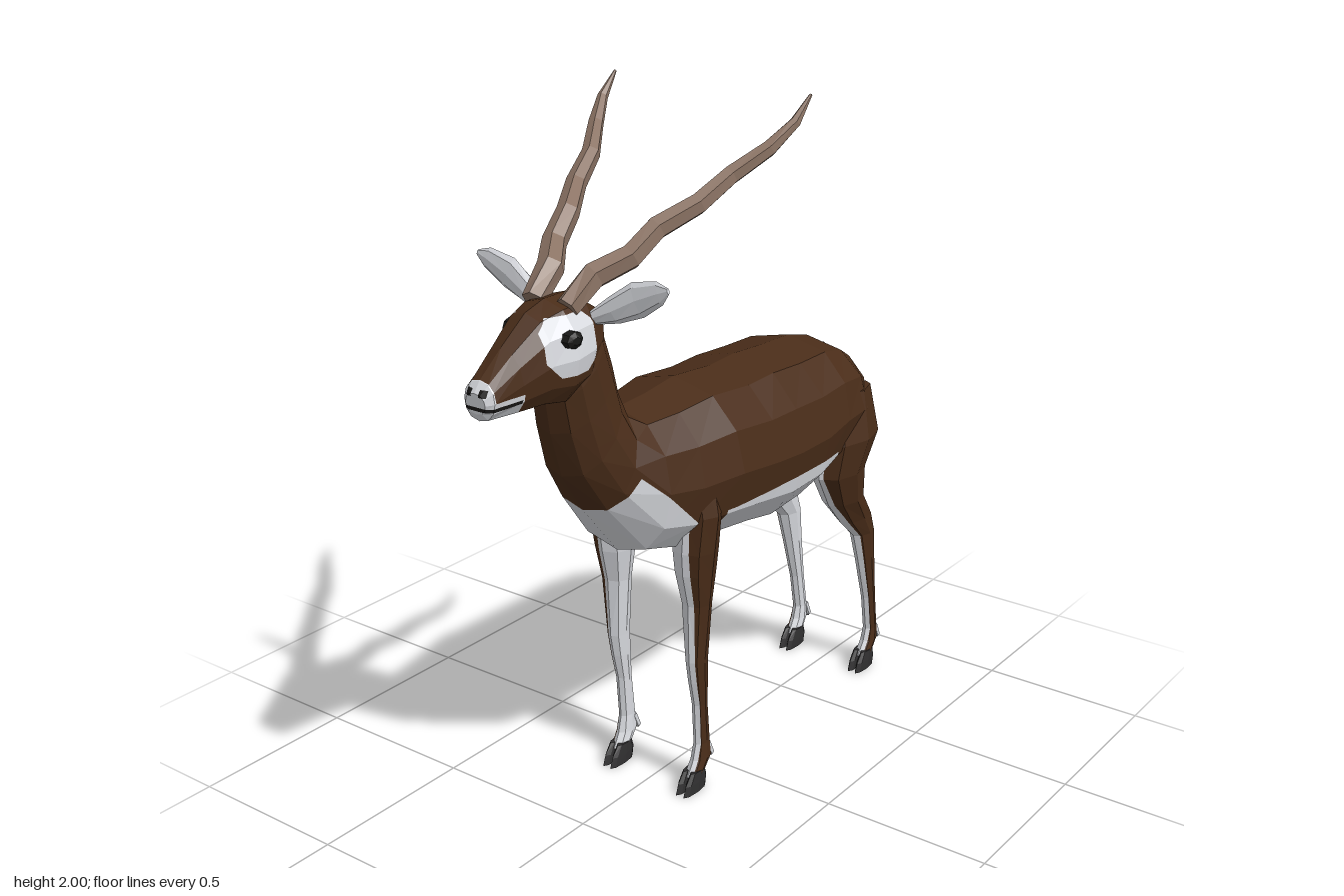
import * as THREE from 'three';

const mat = (name, color) => {
  const m = new THREE.MeshStandardMaterial({ color, flatShading: true });
  m.name = name;
  return m;
};
const brown = mat('brown coat', 0x4a2d19);
const white = mat('white coat', 0xd9dbe0);
const hornTan = mat('horn tan', 0x8a7263);
const hoofGrey = mat('hoof grey', 0x302f30);
const black = mat('black', 0x171615);

const V = (x, y, z) => new THREE.Vector3(x, y, z);

// Joins rings of equal length into a closed skin of triangles with end caps.
function loft(rings) {
  const polys = [], n = rings[0].length;
  for (let i = 0; i < rings.length - 1; i++) {
    for (let j = 0; j < n; j++) {
      const k = (j + 1) % n, a = rings[i], b = rings[i + 1];
      polys.push([a[j], b[j], b[k]], [a[j], b[k], a[k]]);
    }
  }
  polys.push([...rings[0]], [...rings[rings.length - 1]].reverse());
  return polys;
}

const ring = (n, fn) => Array.from({ length: n }, (_, j) => {
  const a = (j / n) * Math.PI * 2;
  return fn(Math.cos(a), Math.sin(a));
});
const soft = (v, e) => Math.sign(v) * Math.abs(v) ** e;

// Ring from a top point and a bottom point in the middle plane plus a half width.
const slice = ([tz, ty, bz, by, w], n = 12) => ring(n, (c, s) =>
  V(soft(s, 0.85) * w, (ty + by) / 2 + c * (ty - by) / 2, (tz + bz) / 2 + c * (tz - bz) / 2));

// Level ring for legs: height, front z, back z, inner x, outer x.
const level = ([y, zf, zb, xi, xo], n = 8) => ring(n, (c, s) =>
  V((xi + xo) / 2 + s * (xo - xi) / 2, y, (zf + zb) / 2 + c * (zf - zb) / 2));

// Rings along a path of [x, y, z, radius, second radius].
function sweep(path, n, ref) {
  const pts = path.map(p => V(p[0], p[1], p[2]));
  return loft(path.map(([, , , r, r2 = r], i) => {
    const t = pts[Math.min(i + 1, pts.length - 1)].clone().sub(pts[Math.max(i - 1, 0)]).normalize();
    const u = ref.clone().addScaledVector(t, -ref.dot(t)).normalize();
    const b = u.clone().cross(t);
    return ring(n, (c, s) => pts[i].clone().addScaledVector(u, c * r).addScaledVector(b, s * r2));
  }));
}

// Cuts a polygon in two where the linear function f changes sign.
function cut(poly, f) {
  const inside = [], outside = [];
  poly.forEach((p, i) => {
    const q = poly[(i + 1) % poly.length], d = f(p), e = f(q);
    (d >= 0 ? inside : outside).push(p);
    if ((d >= 0) !== (e >= 0)) {
      const m = p.clone().lerp(q, d / (d - e));
      inside.push(m);
      outside.push(m);
    }
  });
  return [inside, outside];
}

// Gives each patch, bounded by planes, its own material; the rest stays base.
function paint(polys, base, patches = []) {
  const layers = [];
  let rest = polys;
  for (const [material, planes] of patches) {
    const next = [];
    let kept = rest;
    for (const f of planes) {
      const still = [];
      for (const p of kept) {
        const [a, b] = cut(p, f);
        if (a.length > 2) still.push(a);
        if (b.length > 2) next.push(b);
      }
      kept = still;
    }
    layers.push([material, kept]);
    rest = next;
  }
  return [...layers, [base, rest]];
}

function toMesh(name, layers, side = 1) {
  const pos = [], geo = new THREE.BufferGeometry(), materials = [];
  for (const [material, polys] of layers) {
    const start = pos.length / 3;
    for (const poly of polys) {
      const p = side < 0 ? poly.map(v => V(-v.x, v.y, v.z)).reverse() : poly;
      for (let i = 1; i < p.length - 1; i++)
        for (const v of [p[0], p[i], p[i + 1]]) pos.push(v.x, v.y, v.z);
    }
    geo.addGroup(start, pos.length / 3 - start, materials.length);
    materials.push(material);
  }
  geo.setAttribute('position', new THREE.Float32BufferAttribute(pos, 3));
  geo.computeVertexNormals();
  const mesh = new THREE.Mesh(geo, materials);
  mesh.name = name;
  return mesh;
}

export function createModel() {
  const g = new THREE.Group();
  g.name = 'antelope';

  // Torso and neck, rump to nape
  const body = loft([
    [-0.745, 1.03, -0.72, 0.87, 0.07], [-0.7, 1.11, -0.69, 0.8, 0.17],
    [-0.6, 1.165, -0.62, 0.78, 0.222], [-0.5, 1.19, -0.46, 0.755, 0.238],
    [-0.36, 1.195, -0.37, 0.715, 0.245], [-0.22, 1.205, -0.22, 0.702, 0.245],
    [-0.1, 1.2, -0.1, 0.725, 0.245], [0.07, 1.215, 0.06, 0.745, 0.24],
    [0.2, 1.2, 0.22, 0.755, 0.212], [0.32, 1.195, 0.33, 0.785, 0.185],
    [0.36, 1.215, 0.47, 0.95, 0.137], [0.38, 1.28, 0.55, 1.07, 0.115],
    [0.395, 1.36, 0.59, 1.2, 0.104], [0.43, 1.46, 0.605, 1.29, 0.098],
    [0.48, 1.54, 0.61, 1.36, 0.085],
  ].map(r => slice(r)));
  g.add(toMesh('body', paint(body, brown, [
    [white, [p => 0.875 - p.y, p => p.z + 0.46, p => 0.1 - p.z]],
    [white, [p => 0.86 + 0.95 * (p.z - 0.2) - p.y, p => 1.05 - 1.43 * (p.z - 0.4) - p.y]],
    [white, [p => 0.79 - p.y]],
    [white, [p => 0.98 - p.y, p => -0.69 - p.z, p => 0.17 - p.x, p => 0.17 + p.x]],
  ])));

  // Head with eye patches, lips, mouth line and nostrils
  const head = loft([
    [0.45, 1.52, 0.48, 1.36, 0.08], [0.51, 1.56, 0.54, 1.3, 0.105],
    [0.6, 1.56, 0.6, 1.285, 0.112], [0.67, 1.54, 0.66, 1.295, 0.087],
    [0.76, 1.475, 0.745, 1.3, 0.064], [0.84, 1.412, 0.845, 1.31, 0.05],
    [0.86, 1.385, 0.855, 1.33, 0.032],
  ].map(r => slice(r)));
  const perSide = fn => [1, -1].map(fn);
  g.add(toMesh('head', paint(head, brown, [
    ...perSide(s => [black, [p => s * p.x - 0.012, p => 0.032 - s * p.x, p => p.z - 0.835,
      p => p.y - 0.376, p => p.y - 1.376, p => 1.394 - p.y]]),
    [black, [p => p.z - 0.75, p => p.y - 1.339, p => 1.349 - p.y]],
    [white, [p => p.z - 0.745, p => 1.362 - p.y]],
    [white, [p => p.z - 0.838]],
    ...perSide(s => [white, [p => s * p.x - 0.045, p => p.z - 0.522, p => 0.685 - p.z,
      p => p.y - 1.38, p => 1.53 - p.y, p => 2.185 - p.y - p.z, p => p.y + p.z - 1.93,
      p => p.y - p.z - 0.74, p => 0.985 - p.y + p.z]]),
  ])));

  // Tail
  g.add(toMesh('tail', paint(sweep([
    [0, 1.1, -0.69, 0.02], [0, 1.07, -0.735, 0.018], [0, 1.01, -0.75, 0.015], [0, 0.95, -0.755, 0.005],
  ], 6, V(0, 0, 1)), brown)));

  const horn = sweep([
    [0.055, 1.54, 0.575, 0.032], [0.07, 1.605, 0.49, 0.037], [0.125, 1.645, 0.41, 0.034],
    [0.145, 1.705, 0.33, 0.032], [0.2, 1.755, 0.23, 0.029], [0.23, 1.815, 0.13, 0.026],
    [0.285, 1.875, 0.04, 0.022], [0.317, 1.935, -0.03, 0.015], [0.322, 1.997, -0.093, 0.004],
  ], 6, V(0, 1, 0));
  const ear = sweep([
    [0.075, 1.5, 0.505, 0.018, 0.015], [0.14, 1.53, 0.495, 0.036, 0.02], [0.21, 1.567, 0.49, 0.046, 0.018],
    [0.28, 1.597, 0.495, 0.03, 0.01], [0.31, 1.608, 0.5, 0.008, 0.004],
  ], 8, V(0, 1, 0));
  const eye = sweep([[0.085, 1.474, 0.61, 0.024, 0.03], [0.108, 1.474, 0.61, 0.022, 0.028],
    [0.116, 1.474, 0.612, 0.01, 0.014]], 8, V(0, 1, 0));

  // Legs, top to fetlock, with a brown outer face
  const outer = [[brown, [p => p.x - 0.148 - 0.02 * p.y]]];
  const frontLeg = loft([
    [1.0, 0.22, 0.1, 0.08, 0.2], [0.88, 0.225, 0.1, 0.08, 0.222], [0.77, 0.228, 0.098, 0.08, 0.21],
    [0.7, 0.22, 0.1, 0.085, 0.2], [0.6, 0.197, 0.112, 0.1, 0.187], [0.42, 0.19, 0.115, 0.113, 0.17],
    [0.35, 0.178, 0.112, 0.115, 0.166], [0.27, 0.16, 0.11, 0.118, 0.16], [0.14, 0.152, 0.095, 0.118, 0.158],
    [0.09, 0.165, 0.088, 0.114, 0.161], [0.045, 0.19, 0.125, 0.112, 0.16],
  ].map(r => level(r)));
  const hindLeg = loft([
    [1.03, -0.5, -0.69, 0.08, 0.215], [0.88, -0.45, -0.722, 0.07, 0.243], [0.77, -0.455, -0.67, 0.08, 0.222],
    [0.66, -0.525, -0.69, 0.09, 0.2], [0.57, -0.61, -0.765, 0.1, 0.18], [0.5, -0.688, -0.79, 0.108, 0.172],
    [0.4, -0.722, -0.802, 0.113, 0.167], [0.25, -0.768, -0.822, 0.118, 0.16], [0.13, -0.79, -0.842, 0.117, 0.158],
    [0.09, -0.778, -0.845, 0.114, 0.161], [0.045, -0.75, -0.815, 0.112, 0.16],
  ].map(r => level(r)));

  // Cloven hoof and dewclaw, shifted along z for each leg
  const hoof = dz => [0.109, 0.136].flatMap(x => loft([
    [0.062, 0.19, 0.125, x + 0.002, x + 0.024], [0.03, 0.216, 0.115, x, x + 0.026], [0, 0.227, 0.12, x, x + 0.026],
  ].map(([y, zf, zb, xi, xo]) => level([y, zf + dz, zb + dz, xi, xo]))));
  const dewclaw = dz => sweep([[0.136, 0.13, 0.105 + dz, 0.012, 0.018], [0.136, 0.085, 0.085 + dz, 0.012, 0.018],
    [0.136, 0.072, 0.075 + dz, 0.004, 0.006]], 6, V(0, 0, 1));

  for (const s of [1, -1]) {
    const side = s > 0 ? 'left' : 'right';
    const add = (name, polys, base, patches) =>
      g.add(toMesh(`${side} ${name}`, paint(polys, base, patches), s));
    add('horn', horn, hornTan);
    add('ear', ear, white);
    add('eye', eye, black);
    add('front leg', frontLeg, white, outer);
    add('hind leg', hindLeg, white, outer);
    for (const [name, dz] of [['front', 0], ['hind', -0.94]]) {
      add(`${name} hoof`, hoof(dz), hoofGrey);
      add(`${name} dewclaw`, dewclaw(dz), white);
    }
  }
  return g;
}
